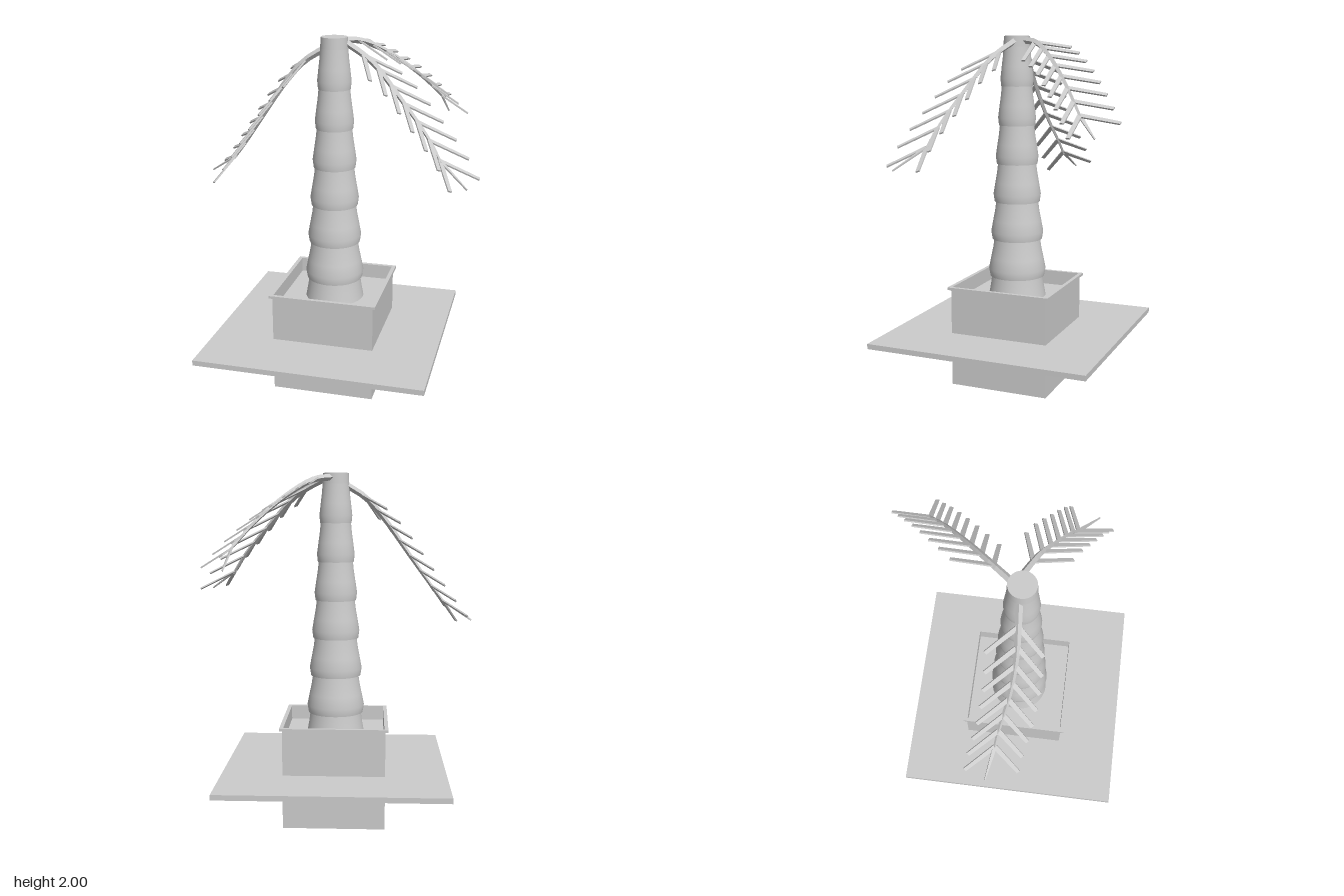
import * as THREE from 'three';

const V = (x, y, z) => new THREE.Vector3(x, y, z);
const AXIS = V(-0.023, 0, 0.064); // planter and trunk share this vertical axis

function material(flatShading = false, side = THREE.FrontSide) {
  return new THREE.MeshStandardMaterial({ color: 0xcccccc, flatShading, side });
}

function add(parent, name, geometry, mat, y = 0) {
  const mesh = new THREE.Mesh(geometry, mat);
  mesh.name = name;
  mesh.position.y = y;
  parent.add(mesh);
  return mesh;
}

// Square frame with a square hole, standing on y = 0
function squareFrame(outer, inner, height) {
  const square = (C, h) => {
    const c = new C();
    c.moveTo(-h, -h);
    c.lineTo(h, -h);
    c.lineTo(h, h);
    c.lineTo(-h, h);
    c.closePath();
    return c;
  };
  const shape = square(THREE.Shape, outer);
  shape.holes.push(square(THREE.Path, inner));
  const g = new THREE.ExtrudeGeometry(shape, { depth: height, bevelEnabled: false });
  return g.rotateX(-Math.PI / 2);
}

function buildPlanter() {
  const g = new THREE.Group();
  g.name = 'planter';
  const mat = material();
  add(g, 'planterBody', new THREE.BoxGeometry(0.58, 0.5, 0.58), mat, 0.25);
  add(g, 'planterWalls', squareFrame(0.29, 0.284, 0.07), mat, 0.5);
  add(g, 'planterRim', squareFrame(0.306, 0.284, 0.015), mat, 0.57);
  add(g, 'platform', new THREE.BoxGeometry(1.28, 0.03, 1.28), mat, 0.295);
  return g;
}

// Trunk: stacked flared segments, each overhanging the narrower one below
function buildTrunk() {
  const g = new THREE.Group();
  g.name = 'trunk';
  const mat = material(false, THREE.DoubleSide);
  const step = 0.22;
  for (let i = 0; i < 7; i++) {
    const top = 1.94 - i * step;
    const r = 0.094 + i * 0.0145; // widest radius
    const at = (t, k) => new THREE.Vector2(r * k, Math.max(top - step * t, 0.495));
    const inner = new THREE.Vector2(r * 0.85, Math.max(top - step, 0.495));
    const profile = [at(1, 0.955), at(0.8, 1), at(0.5, 0.92), at(0.25, 0.85), at(0, 0.8)];
    add(g, 'trunkSegment', new THREE.LatheGeometry(i < 6 ? profile : [
      new THREE.Vector2(r * 0.93, 0.495), at(0.25, 0.86), at(0, 0.82)], 32), mat);
    // Flat underside of the overhang
    if (i < 6) add(g, 'trunkLedge', new THREE.LatheGeometry([inner, at(1, 0.955)], 32), mat);
  }
  add(g, 'trunkTop', new THREE.CylinderGeometry(0.073, 0.076, 0.06, 32), mat, 1.97);
  return g;
}

// Flat strip running from a point along a vector; taper narrows its far end
function leafGeometry(from, along, normal, width, taper) {
  const len = along.length();
  const geo = new THREE.BoxGeometry(len, width, 0.008).translate(len / 2, 0, 0);
  const p = geo.attributes.position;
  for (let i = 0; i < p.count; i++) {
    if (p.getX(i) > len / 2) p.setY(i, p.getY(i) * taper);
  }
  const x = along.clone().normalize();
  const y = normal.clone().cross(x).normalize();
  const z = x.clone().cross(y);
  return geo.applyMatrix4(new THREE.Matrix4().makeBasis(x, y, z).setPosition(from));
}

// Four-sided stem that thins towards its tip
function stemGeometry(curve) {
  const n = 16, sides = 4;
  const geo = new THREE.TubeGeometry(curve, n, 0.019, sides);
  const p = geo.attributes.position;
  const v = V(0, 0, 0);
  for (let i = 0; i < p.count; i++) {
    const t = Math.floor(i / (sides + 1)) / n;
    const c = curve.getPointAt(t);
    v.fromBufferAttribute(p, i).sub(c).multiplyScalar(1 - 0.6 * t).add(c);
    p.setXYZ(i, v.x, v.y, v.z);
  }
  return geo;
}

function buildFrond({ name, path, sides, tip, count, start }) {
  const g = new THREE.Group();
  g.name = name;
  const mat = material(true, THREE.DoubleSide);
  const curve = new THREE.CatmullRomCurve3(path);
  const normal = sides[0].clone().cross(sides[1]).normalize();
  add(g, 'stem', stemGeometry(curve), mat);
  for (const dir of sides) {
    for (let i = 0; i < count; i++) {
      const t = start + (0.98 - start) * i / (count - 1);
      add(g, 'leaflet', leafGeometry(curve.getPointAt(t), dir, normal, 0.026, 0.8), mat);
    }
  }
  add(g, 'tipLeaflet', leafGeometry(curve.getPointAt(0.98), tip, normal, 0.022, 0.25), mat);
  return g;
}

const FRONDS = [
  {
    name: 'rightFrond', count: 8, start: 0.15,
    path: [V(-0.07, 1.94, 0.056), V(-0.19, 1.865, 0.065), V(-0.295, 1.75, 0.07),
      V(-0.445, 1.54, 0.05), V(-0.575, 1.36, 0.012), V(-0.645, 1.27, 0)],
    sides: [V(-0.09, -0.13, 0.135), V(-0.125, -0.07, -0.145)],
    tip: V(-0.16, -0.105, -0.035),
  },
  {
    name: 'backFrond', count: 8, start: 0.15,
    path: [V(0, 1.975, 0.01), V(0.09, 1.96, -0.1), V(0.22, 1.88, -0.23),
      V(0.375, 1.74, -0.375), V(0.5, 1.59, -0.495)],
    sides: [V(0.02, -0.03, -0.215), V(0.16, -0.1, 0.005)],
    tip: V(0.035, -0.11, -0.09),
  },
  {
    name: 'frontLeftFrond', count: 7, start: 0.16,
    path: [V(0.03, 1.975, 0.05), V(0.2, 1.88, 0.12), V(0.37, 1.71, 0.2),
      V(0.53, 1.53, 0.275), V(0.61, 1.41, 0.315)],
    sides: [V(0.08, -0.1, 0.195), V(0.2, -0.1, -0.055)],
    tip: V(0.155, -0.11, 0.115),
  },
];

export function createModel() {
  const model = new THREE.Group();
  model.name = 'plantedPalm';
  for (const part of [buildPlanter(), buildTrunk()]) {
    part.position.copy(AXIS);
    model.add(part);
  }
  for (const f of FRONDS) model.add(buildFrond(f));
  return model;
}
